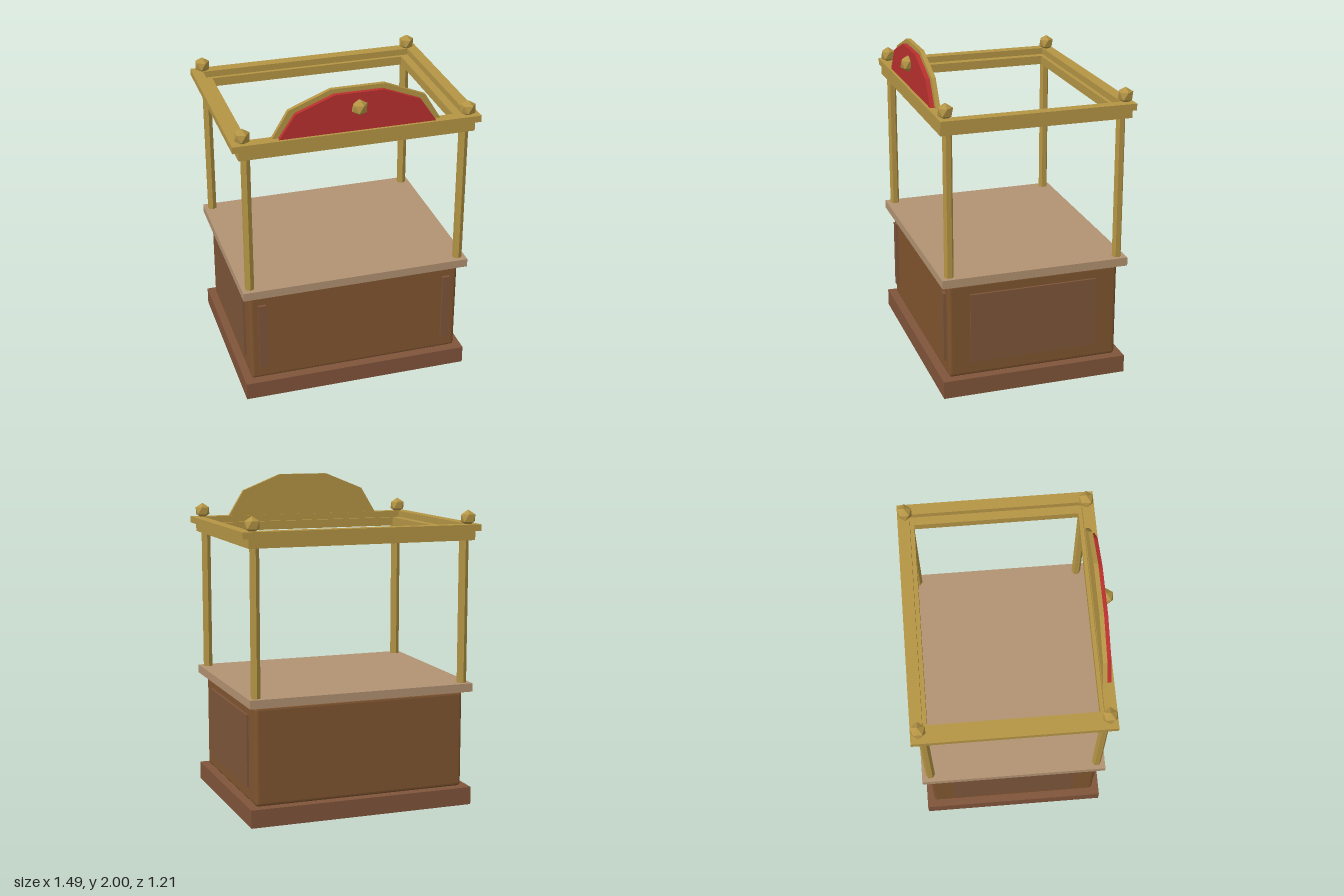
import * as THREE from 'three';
import { RoundedBoxGeometry } from 'three/addons/geometries/RoundedBoxGeometry.js';

const mat = (color) => new THREE.MeshStandardMaterial({ color, flatShading: true });
const MID = -0.018; // depth centre of the counter and frame

export function createModel() {
  const group = new THREE.Group();
  const gold = mat(0xb59545), red = mat(0xb8302e), wood = mat(0x80552f);
  const plinthWood = mat(0x80543a), panelWood = mat(0x7d553a), topWood = mat(0xb29272);

  const add = (name, geometry, material, x = 0, y = 0, z = 0) => {
    const mesh = new THREE.Mesh(geometry, material);
    mesh.name = name;
    mesh.position.set(x, y, z);
    group.add(mesh);
    return mesh;
  };
  // box given by its limits on each axis
  const box = (name, material, [x0, x1], [y0, y1], [z0, z1]) =>
    add(name, new THREE.BoxGeometry(x1 - x0, y1 - y0, z1 - z0), material,
      (x0 + x1) / 2, (y0 + y1) / 2, (z0 + z1) / 2);

  // counter
  box('plinth', plinthWood, [-0.71, 0.71], [0, 0.11], [-0.597, 0.561]);
  add('counterBody', new RoundedBoxGeometry(1.33, 0.6, 1.064, 2, 0.02), wood, 0, 0.41, MID);
  box('counterTop', topWood, [-0.71, 0.71], [0.715, 0.767], [-0.597, 0.561]);

  // raised trim on the counter
  for (const s of [-1, 1]) {
    const side = s < 0 ? 'right' : 'left';
    const strip = new THREE.BoxGeometry(0.047, 0.44, 0.03);
    add(side + 'FrontStrip', strip, panelWood, s * 0.59, 0.42, 0.516);
    const panel = new THREE.BoxGeometry(0.03, 0.44, 0.795);
    add(side + 'SidePanel', panel, panelWood, s * 0.664, 0.42, -0.015);
  }

  // rectangular ring of four beams
  const frame = (name, halfX, back, front, thickX, thickZ, y) => {
    box(name + 'Back', gold, [-halfX, halfX], y, [back, back + thickZ]);
    box(name + 'Front', gold, [-halfX, halfX], y, [front - thickZ, front]);
    const z = [back + thickZ, front - thickZ];
    box(name + 'Right', gold, [-halfX, -halfX + thickX], y, z);
    box(name + 'Left', gold, [halfX - thickX, halfX], y, z);
  };
  frame('lowerBeam', 0.71, -0.597, 0.561, 0.084, 0.086, [1.645, 1.7]);
  frame('upperBeam', 0.746, -0.608, 0.569, 0.068, 0.072, [1.7, 1.74]);

  // hexagonal posts and faceted finials, point upwards
  const postGeo = new THREE.CylinderGeometry(0.029, 0.029, 0.89, 6);
  const knobGeo = new THREE.IcosahedronGeometry(0.05, 0);
  knobGeo.rotateZ(-Math.atan(2 / (1 + Math.sqrt(5))));
  for (const sx of [-1, 1]) {
    for (const sz of [-1, 1]) {
      add('post', postGeo, gold, sx * 0.66, 1.207, MID + sz * 0.526);
      add('finial', knobGeo, gold, sx * 0.677, 1.777, MID - 0.002 + sz * 0.542);
    }
  }

  // faceted arch sign, mirrored from its right half
  const arch = (name, half, depth, material, z) => {
    const points = [...half, ...half.map(([x, y]) => [-x, y]).reverse()];
    const shape = new THREE.Shape(points.map(([x, y]) => new THREE.Vector2(x, y)));
    add(name, new THREE.ExtrudeGeometry(shape, { depth, bevelEnabled: false }), material, 0, 0, z);
  };
  arch('signBacking', [[0.505, 1.74], [0.408, 1.9], [0.16, 2]], 0.026, gold, 0.5);
  arch('signFace', [[0.47, 1.74], [0.372, 1.885], [0.146, 1.974]], 0.026, red, 0.526);
  add('signKnob', knobGeo, gold, 0, 1.886, 0.56);

  return group;
}
